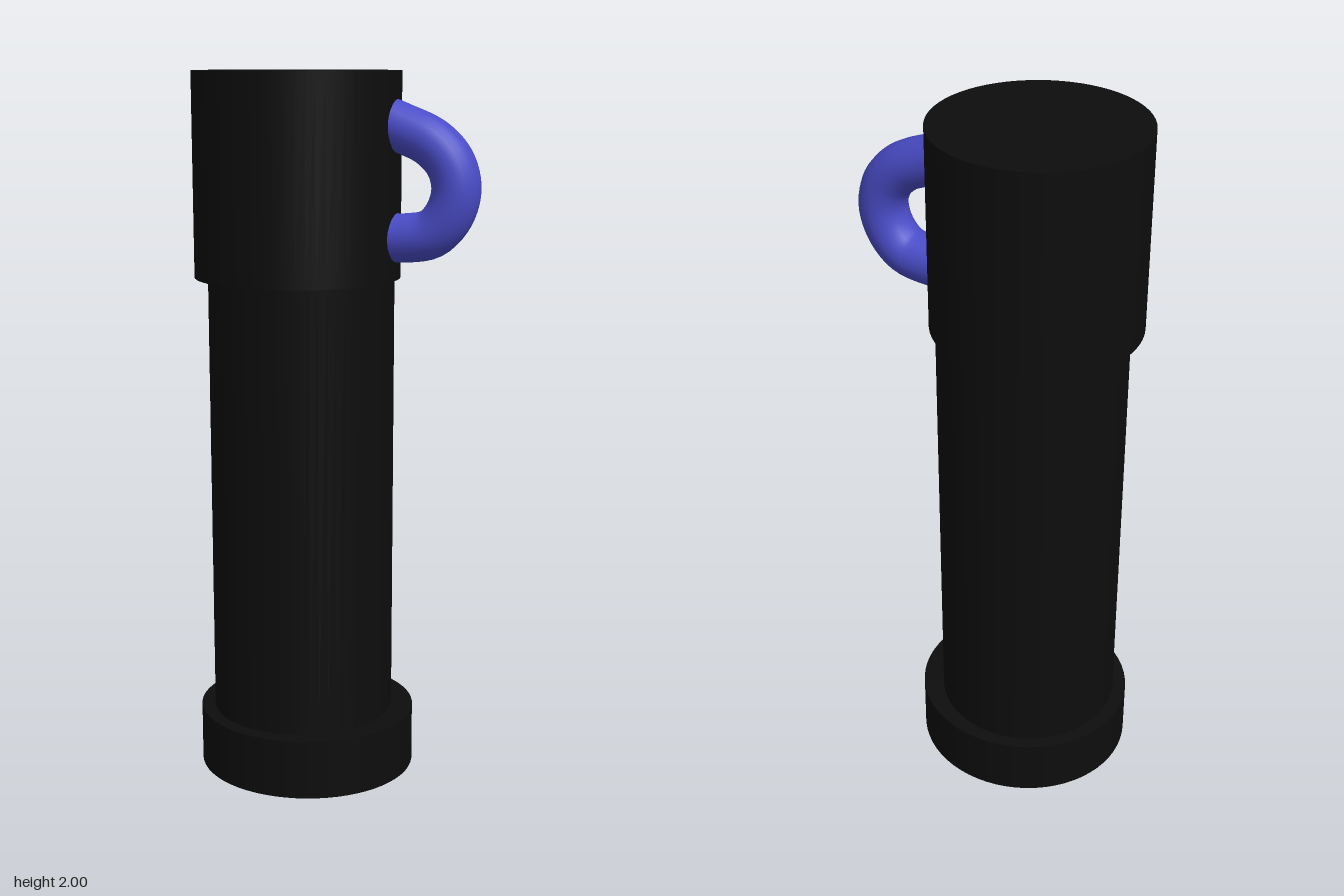
import * as THREE from 'three';

export function createModel() {
  const group = new THREE.Group();
  group.name = 'handledCylinder';

  const black = new THREE.MeshStandardMaterial({ color: 0x0d0d0d });
  black.name = 'black';
  const blue = new THREE.MeshStandardMaterial({ color: 0x4a4cc8 });
  blue.name = 'blue';

  // Upright drum between two heights, optionally oval in x
  function drum(name, x, z, rx, rz, bottom, top) {
    const mesh = new THREE.Mesh(new THREE.CylinderGeometry(1, 1, top - bottom, 64), black);
    mesh.name = name;
    mesh.scale.set(rx, 1, rz);
    mesh.position.set(x, (bottom + top) / 2, z);
    group.add(mesh);
  }

  drum('base', -0.097, 0.002, 0.313, 0.303, 0, 0.17);
  drum('body', -0.11, 0, 0.261, 0.261, 0.165, 1.445);
  drum('cap', -0.118, 0.007, 0.288, 0.288, 1.437, 2);

  // Loop handle, its ends sunk into the cap
  const path = new THREE.CatmullRomCurve3([
    [0.12, 1.872], [0.18, 1.85], [0.267, 1.812], [0.32, 1.758], [0.338, 1.69],
    [0.318, 1.62], [0.27, 1.57], [0.2, 1.555], [0.12, 1.555],
  ].map(([x, y]) => new THREE.Vector3(x, y, -0.015)));
  const handle = new THREE.Mesh(new THREE.TubeGeometry(path, 40, 0.067, 20), blue);
  handle.name = 'handle';
  group.add(handle);

  return group;
}
